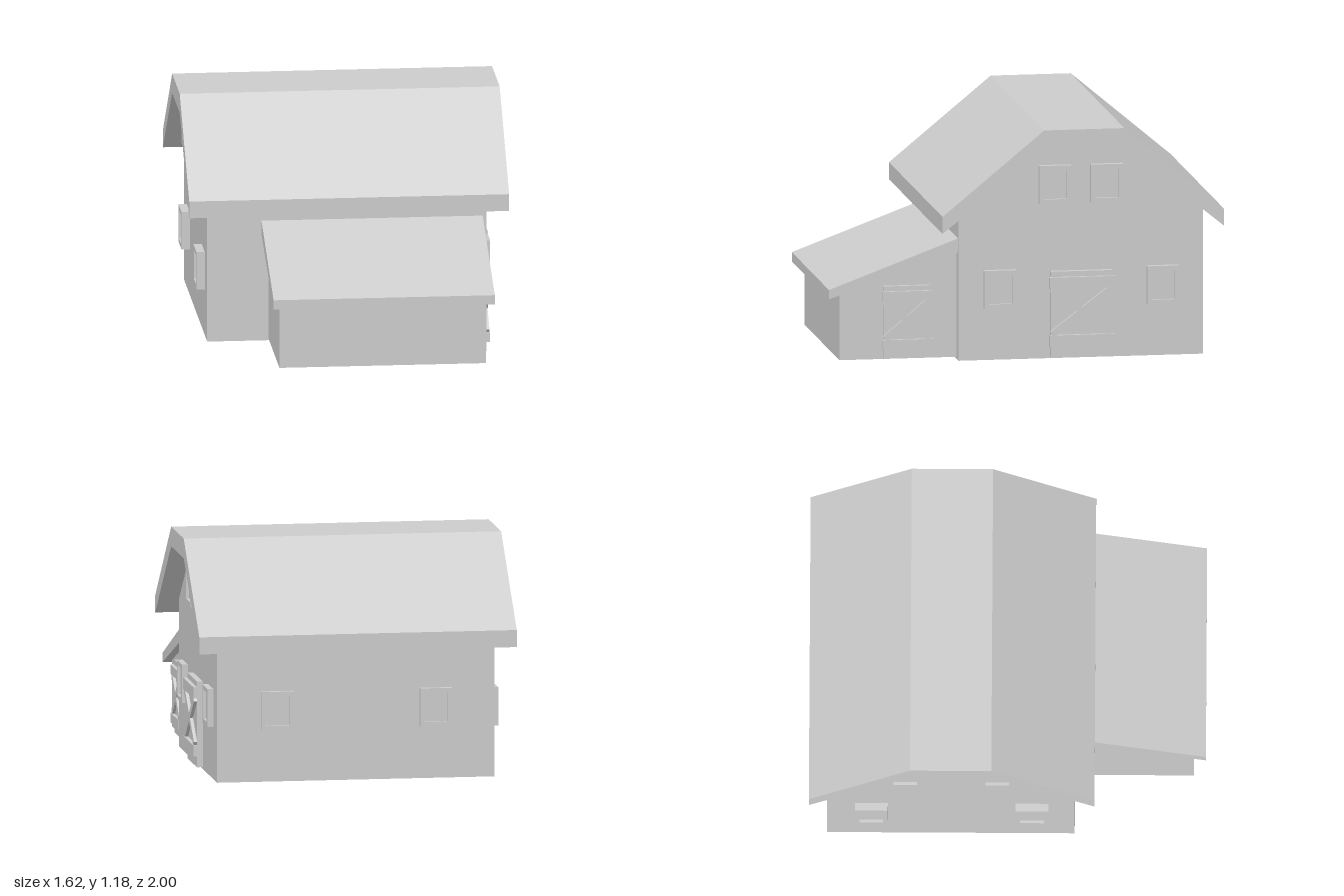
import * as THREE from 'three';

const solid = new THREE.MeshStandardMaterial({ color: 0xcccccc, flatShading: true });
const thin = new THREE.MeshStandardMaterial({ color: 0xcccccc, flatShading: true, side: THREE.DoubleSide });

function add(parent, name, geometry, material = solid) {
  const mesh = new THREE.Mesh(geometry, material);
  mesh.name = name;
  parent.add(mesh);
  return mesh;
}

function box(parent, name, w, h, d, x, y, z) {
  const mesh = add(parent, name, new THREE.BoxGeometry(w, h, d));
  mesh.position.set(x, y, z);
  return mesh;
}

// Shape from [z, y] points, turned so that extrusion runs along +x
const sideShape = (points) => new THREE.Shape(points.map(([z, y]) => new THREE.Vector2(-z, y)));

function roof(parent, name, points, x0, x1) {
  const geometry = new THREE.ExtrudeGeometry(sideShape(points), { depth: x1 - x0, bevelEnabled: false });
  add(parent, name, geometry.rotateY(Math.PI / 2).translate(x0, 0, 0));
}

// Hollow walls without floor: two gable ends joined by a front and a back wall
function walls(parent, name, points, x0, x1) {
  const group = new THREE.Group();
  group.name = name;
  for (const x of [x0, x1]) {
    const end = new THREE.ShapeGeometry(sideShape(points)).rotateY(Math.PI / 2);
    add(group, 'gableWall', end.translate(x, 0, 0), thin);
  }
  const last = points.length - 1;
  for (const [[z, bottom], [, top]] of [[points[0], points[1]], [points[last], points[last - 1]]]) {
    const wall = new THREE.PlaneGeometry(x1 - x0, top - bottom);
    add(group, 'longWall', wall.translate((x0 + x1) / 2, (top + bottom) / 2, z), thin);
  }
  parent.add(group);
}

// Framed window with a recessed pane, facing +z before it is turned
function windowUnit(parent, x, y, z, turn, depth) {
  const w = 0.165, h = 0.195, rim = 0.023;
  const rect = (path, a, b) => path.moveTo(-a, -b).lineTo(a, -b).lineTo(a, b).lineTo(-a, b).closePath();
  const shape = rect(new THREE.Shape(), w / 2, h / 2);
  shape.holes.push(rect(new THREE.Path(), w / 2 - rim, h / 2 - rim));
  const group = new THREE.Group();
  group.name = 'window';
  const frame = new THREE.ExtrudeGeometry(shape, { depth: depth + 0.005, bevelEnabled: false });
  add(group, 'windowFrame', frame.translate(0, 0, -0.005));
  box(group, 'windowPane', w - 2 * rim, h - 2 * rim, depth - 0.012, 0, 0, (depth - 0.012) / 2 - 0.003);
  group.position.set(x, y, z);
  group.rotation.y = turn;
  parent.add(group);
}

// Plank door on a +x wall with two rails and a cross brace
function barnDoor(parent, name, { x, z, width, bottom, top, railLow, railHigh, rail, panelDepth, barDepth }) {
  const group = new THREE.Group();
  group.name = name;
  box(group, 'doorPanel', panelDepth + 0.004, top - bottom, width, x + panelDepth / 2 - 0.002, (top + bottom) / 2, z);
  const barX = x + panelDepth + barDepth / 2;
  for (const y of [railLow + rail / 2, railHigh - rail / 2]) {
    box(group, 'doorRail', barDepth, rail, width + 0.02, barX, y, z);
  }
  const h = railHigh - railLow - 2 * rail;
  for (const side of [-1, 1]) {
    const brace = box(group, 'crossBrace', barDepth - 0.003, 0.034, Math.hypot(h, width) - 0.01,
      barX - 0.002, (railLow + railHigh) / 2, z);
    brace.rotation.x = side * Math.atan2(h, width);
  }
  parent.add(group);
}

export function createModel() {
  const barn = new THREE.Group();
  barn.name = 'barn';

  // Main building
  walls(barn, 'mainWalls', [
    [0.34, 0], [0.34, 0.75], [-0.08, 1.085], [-0.49, 1.085], [-0.91, 0.743], [-0.91, 0],
  ], -0.71, 0.705);
  roof(barn, 'mainRoof', [
    [0.44, 0.67], [0.44, 0.757], [-0.08, 1.185], [-0.49, 1.185],
    [-1, 0.757], [-1, 0.67], [-0.49, 1.085], [-0.08, 1.085],
  ], -0.81, 0.81);

  // Lean-to at the front
  walls(barn, 'leanToWalls', [[0.94, 0.01], [0.94, 0.35], [0.335, 0.552], [0.335, 0.01]], -0.4, 0.645);
  roof(barn, 'leanToRoof', [[1, 0.33], [1, 0.378], [0.335, 0.625], [0.335, 0.552]], -0.435, 0.685);

  // Windows on both gable ends and the back
  for (const [z, y] of [[0.13, 0.363], [-0.702, 0.363], [-0.15, 0.892], [-0.415, 0.892]]) {
    windowUnit(barn, 0.705, y, z, Math.PI / 2, 0.03);
  }
  for (const [z, y] of [[0.125, 0.335], [-0.685, 0.335], [-0.05, 0.89], [-0.515, 0.89]]) {
    windowUnit(barn, -0.71, y, z, -Math.PI / 2, 0.042);
  }
  for (const x of [-0.41, 0.4]) windowUnit(barn, x, 0.363, -0.91, Math.PI, 0.025);

  // Doors
  barnDoor(barn, 'mainDoor', {
    x: 0.705, z: -0.285, width: 0.315, bottom: 0.01, top: 0.447,
    railLow: 0.067, railHigh: 0.42, rail: 0.057, panelDepth: 0.03, barDepth: 0.02,
  });
  barnDoor(barn, 'leanToDoor', {
    x: 0.645, z: 0.598, width: 0.238, bottom: 0.015, top: 0.385,
    railLow: 0.065, railHigh: 0.36, rail: 0.048, panelDepth: 0.024, barDepth: 0.018,
  });
  return barn;
}
